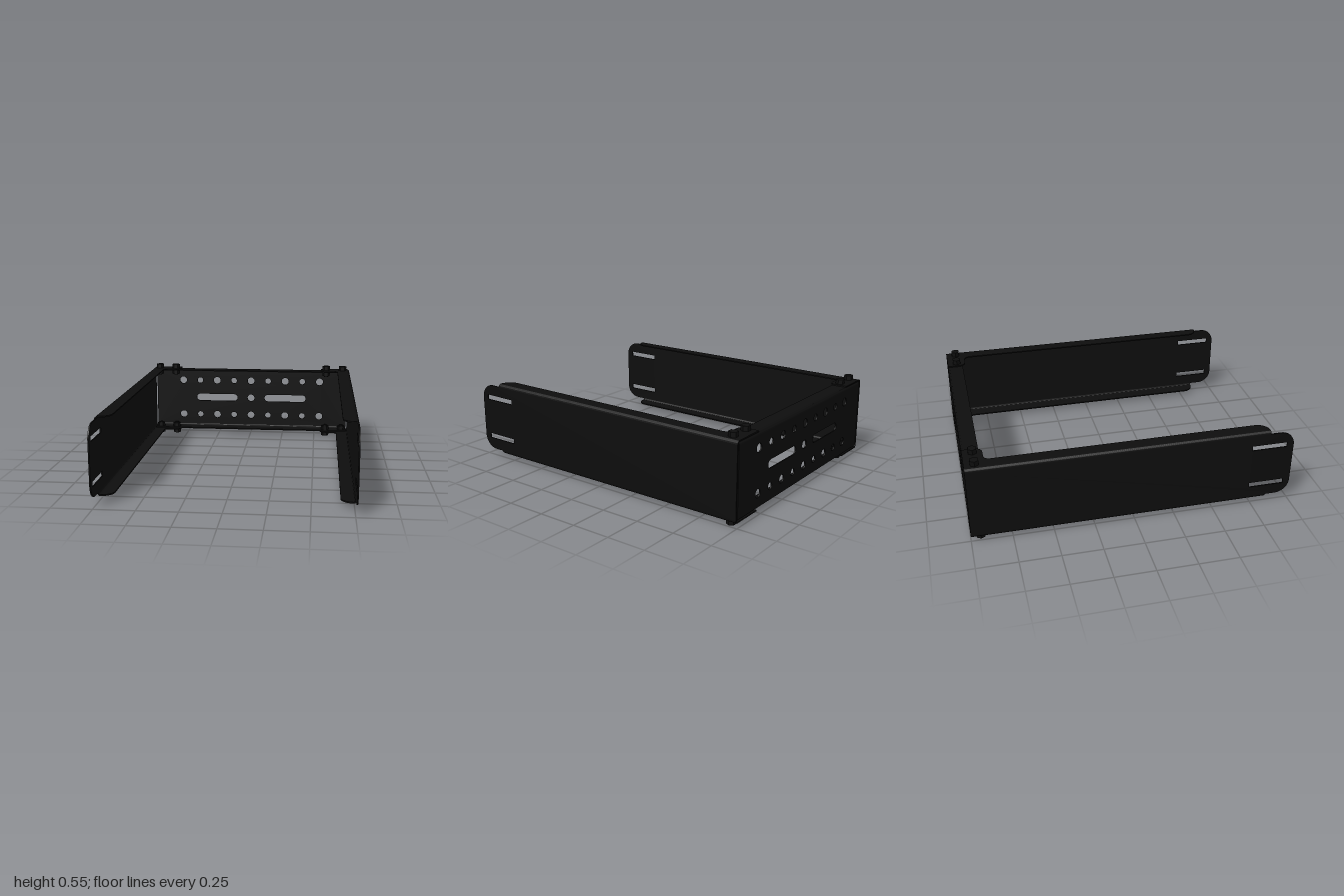
import * as THREE from 'three';
import { toCreasedNormals } from 'three/addons/utils/BufferGeometryUtils.js';

const T = 0.008;        // sheet thickness
const R = 0.02;         // outer bend radius
const H = 0.2415;       // half height of the arms
const X = 0.763;        // outer face of the arms
const HB = H - T;       // half height of the back channel
const XB = 0.746;       // half width of the back channel
const MID = 0.2725;     // height of the symmetry plane
const PI = Math.PI;

const material = new THREE.MeshStandardMaterial({ color: 0x0d0d0d });

function part(name, geometry, parent) {
  const mesh = new THREE.Mesh(toCreasedNormals(geometry, 0.6), material);
  mesh.name = name;
  parent.add(mesh);
  return mesh;
}

const extrude = (shape, depth) =>
  new THREE.ExtrudeGeometry(shape, { depth, bevelEnabled: false, curveSegments: 10 });

const rectPath = (x0, y0, x1, y1) => new THREE.Path([
  [x0, y0], [x0, y1], [x1, y1], [x1, y0]].map(p => new THREE.Vector2(...p)));

// Slot with round ends; with x0 = x1 it is a circle
function slotPath(x0, x1, y, r) {
  const p = new THREE.Path();
  p.absarc(x1, y, r, -PI / 2, PI / 2, false);
  p.absarc(x0, y, r, PI / 2, 1.5 * PI, false);
  p.closePath();
  return p;
}

// Quarter ring for a bend in the sheet
function bendShape(cx, cy, start) {
  const s = new THREE.Shape();
  s.absarc(cx, cy, R, start, start + PI / 2, false);
  s.absarc(cx, cy, R - T, start + PI / 2, start, true);
  s.closePath();
  return s;
}

function createArm() {
  const arm = new THREE.Group();

  // Side web with a rounded mounting end and two slots (shape x = -z)
  const h = H - R, r = 0.09;
  const web = new THREE.Shape();
  web.moveTo(1, -h);
  web.lineTo(1, h);
  web.lineTo(-1 + r, h);
  web.absarc(-1 + r, h - r, r, PI / 2, PI, false);
  web.absarc(-1 + r, -h + r, r, PI, 1.5 * PI, false);
  web.closePath();
  for (const y of [-0.133, 0.136])
    web.holes.push(rectPath(-0.957, y - 0.016, -0.733, y + 0.016));
  part('armWeb', extrude(web, T).rotateY(PI / 2).translate(X - T, 0, 0), arm);

  // Flange with a corner tab at the back and a rounded front (shape y = -z)
  const f = new THREE.Shape();
  f.moveTo(X - R, 1);
  f.lineTo(0.545, 1);
  f.absarc(0.59, 0.925, 0.045, PI, 1.5 * PI, false);
  f.absarc(0.635, 0.845, 0.035, PI / 2, 0, true);
  f.absarc(X - R, -0.772, X - R - 0.67, PI, 1.5 * PI, false);
  f.closePath();
  const bendLength = 1.845;
  for (const side of [1, -1]) {
    const name = side > 0 ? 'Top' : 'Bottom';
    part('armFlange' + name,
      extrude(f, T).rotateX(-PI / 2).translate(0, side > 0 ? H - T : -H, 0), arm);
    const bend = bendShape(X - R, side * (H - R), side > 0 ? 0 : -PI / 2);
    part('armBend' + name, extrude(bend, bendLength).translate(0, 0, -1), arm);
  }
  return arm;
}

function createBack() {
  const back = new THREE.Group();
  back.name = 'backChannel';

  // Perforated web
  const h = HB - R;
  const web = new THREE.Shape(rectPath(-XB, -h, XB, h).getPoints());
  for (let i = -4; i <= 4; i++)
    for (const y of [-0.136, 0.138])
      web.holes.push(slotPath(i * 0.1342, i * 0.1342, y, i % 2 ? 0.022 : 0.027));
  web.holes.push(slotPath(0, 0, 0.002, 0.027));
  web.holes.push(slotPath(-0.403, -0.134, 0.002, 0.027));
  web.holes.push(slotPath(0.134, 0.403, 0.002, 0.027));
  part('backWeb', extrude(web, T).translate(0, 0, -1), back);

  // Flanges and bends
  for (const side of [1, -1]) {
    const name = side > 0 ? 'Top' : 'Bottom';
    const depth = 0.1 - R;
    const flange = new THREE.BoxGeometry(2 * XB, T, depth);
    part('backFlange' + name,
      flange.translate(0, side * (HB - T / 2), -1 + R + depth / 2), back);
    const bend = bendShape(1 - R, side * h, side > 0 ? 0 : -PI / 2);
    part('backBend' + name,
      extrude(bend, 2 * XB).rotateY(PI / 2).translate(-XB, 0, 0), back);
  }
  return back;
}

// Hex bolt clamping both flanges, with a nut on the inside
function createBolt(x, side) {
  const bolt = new THREE.Group();
  bolt.name = 'bolt';
  const cylinder = (name, radius, y0, y1, sides) => part(name,
    new THREE.CylinderGeometry(radius, radius, y1 - y0, sides)
      .rotateY(PI / 2).translate(0, (y0 + y1) / 2, 0), bolt);
  cylinder('boltHead', 0.0285, H, MID, 6);
  cylinder('boltShank', 0.015, 0.19, H, 16);
  cylinder('boltNut', 0.0285, 0.197, HB - T, 6);
  bolt.position.set(x, 0, -0.938);
  if (side < 0) bolt.rotation.z = PI;
  return bolt;
}

export function createModel() {
  const model = new THREE.Group();
  model.name = 'bracket';
  const body = new THREE.Group();
  body.name = 'bracketBody';
  body.position.y = MID;
  model.add(body);

  // The arms match under a half turn about z
  const leftArm = createArm();
  leftArm.name = 'leftArm';
  const rightArm = createArm();
  rightArm.name = 'rightArm';
  rightArm.rotation.z = PI;
  body.add(leftArm, rightArm, createBack());

  for (const x of [-0.71, -0.585, 0.585, 0.71])
    for (const side of [1, -1]) body.add(createBolt(x, side));
  return model;
}
